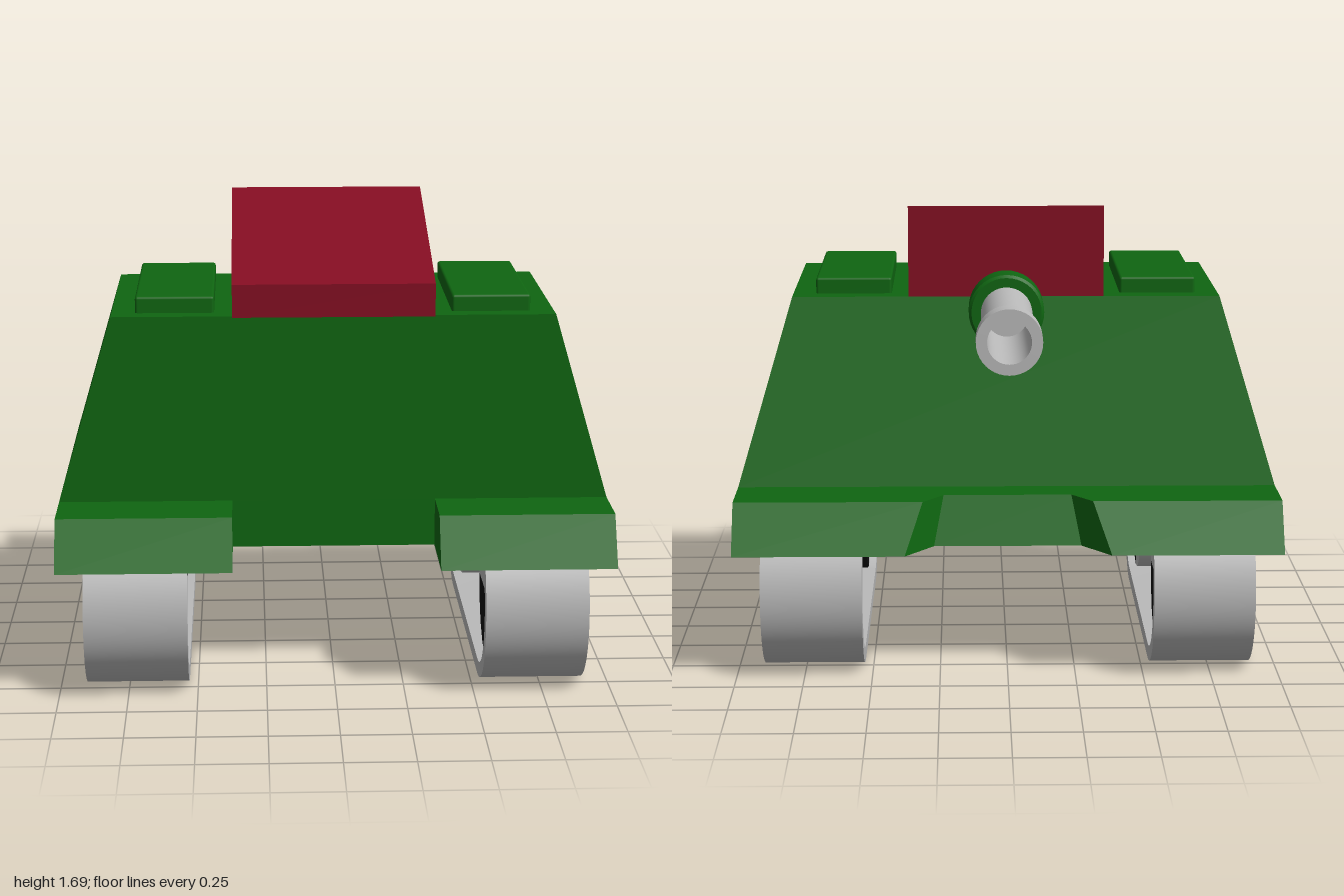
import * as THREE from 'three';
import { mergeGeometries, toCreasedNormals } from 'three/addons/utils/BufferGeometryUtils.js';
import { RoundedBoxGeometry } from 'three/addons/geometries/RoundedBoxGeometry.js';

const material = (name, color) => {
  const m = new THREE.MeshStandardMaterial({ color });
  m.name = name;
  return m;
};

// Solid between two matching outlines of [x, z], counter-clockwise from above
function loft(bottom, y0, top, y1) {
  const pos = [];
  const put = (p, y) => pos.push(p[0], y, p[1]);
  const n = bottom.length;
  for (let i = 0; i < n; i++) {
    const j = (i + 1) % n;
    put(bottom[i], y0); put(bottom[j], y0); put(top[j], y1);
    put(bottom[i], y0); put(top[j], y1); put(top[i], y1);
  }
  const cap = (outline) => THREE.ShapeUtils.triangulateShape(
    outline.map(([x, z]) => new THREE.Vector2(x, -z)), []);
  for (const [a, b, c] of cap(top)) { put(top[a], y1); put(top[b], y1); put(top[c], y1); }
  for (const [a, b, c] of cap(bottom)) { put(bottom[a], y0); put(bottom[c], y0); put(bottom[b], y0); }
  const g = new THREE.BufferGeometry();
  g.setAttribute('position', new THREE.Float32BufferAttribute(pos, 3));
  g.computeVertexNormals();
  return g;
}

// Right half outline (front centre to back centre) mirrored to a full loop
const mirrored = (half) => [...half, ...half.slice().reverse().map(([x, z]) => [-x, z])];

// Extrude a side profile drawn in (-z, y) across x, centred on x = 0
function extrudeAcross(shape, width, curveSegments = 32) {
  const g = new THREE.ExtrudeGeometry(shape, { depth: width, bevelEnabled: false, curveSegments });
  g.translate(0, 0, -width / 2);
  g.rotateY(Math.PI / 2);
  return g;
}

const FRONT_AXLE = 0.63, REAR_AXLE = -0.415, AXLE_Y = 0.305;

function stadium(PathType, r) {
  const p = new PathType();
  p.absarc(-REAR_AXLE, AXLE_Y, r, -Math.PI / 2, Math.PI / 2, false);
  p.absarc(-FRONT_AXLE, AXLE_Y, r, Math.PI / 2, Math.PI * 1.5, false);
  p.closePath();
  return p;
}

// Checkered wheel sectors of one colour: parity 0 is dark, 1 is light
function wheelSectors(parity) {
  const half = 0.157, parts = [];
  for (const side of [0, 1]) {
    for (let q = 0; q < 4; q++) {
      if ((q + side) % 2 !== parity) continue;
      const g = new THREE.CylinderGeometry(0.245, 0.245, half, 4, 1, false, q * Math.PI / 2, Math.PI / 2);
      g.translate(0, side ? -half / 2 : half / 2, 0);
      g.rotateZ(-Math.PI / 2);
      parts.push(g);
    }
  }
  return mergeGeometries(parts);
}

export function createModel() {
  const group = new THREE.Group();
  const green = material('armour green', 0x0f6611);
  const red = material('turret red', 0x850d22);
  const grey = material('metal grey', 0xbababa);
  const black = material('wheel black', 0x0f0f0f);
  const add = (name, geometry, mat, parent = group) => {
    const mesh = new THREE.Mesh(geometry, mat);
    mesh.name = name;
    parent.add(mesh);
    return mesh;
  };

  // Skirt plate with two front fenders and a notched rear fender
  const skirt = (front, rear, notchX, notchZ, cornerX) => mirrored([
    [0.37, 0.61], [0.37, front], [1, front], [1, rear], [cornerX, rear], [notchX, notchZ],
  ]);
  add('skirt', loft(skirt(0.93, -0.75, 0.27, -0.61, 0.375), 0.49,
    skirt(0.83, -0.64, 0.235, -0.54, 0.31), 0.665), green);

  // Hull tapering to the sides and back
  add('hull', loft(mirrored([[1, 0.61], [1, -0.41]]), 0.665,
    mirrored([[0.8, 0.61], [0.8, -0.22]]), 1.35), green);

  // Raised roof hatches
  for (const side of [1, -1]) {
    add(side > 0 ? 'leftHatch' : 'rightHatch', new RoundedBoxGeometry(0.285, 0.09, 0.685, 2, 0.01), green)
      .position.set(side * 0.572, 1.365, 0.2);
  }

  // Wedge turret
  const wedge = new THREE.Shape([[-0.612, 1.345], [0.217, 1.345], [0.217, 1.69], [-0.612, 1.465]]
    .map(([a, b]) => new THREE.Vector2(a, b)));
  add('turret', extrudeAcross(wedge, 0.73), red);

  // Gun: collar and hollow barrel, turned around the z axis
  const turned = (points) => {
    const g = new THREE.LatheGeometry(points.map(([r, d]) => new THREE.Vector2(r, d)), 40);
    g.rotateX(-Math.PI / 2);
    return toCreasedNormals(g, 0.6);
  };
  const gun = new THREE.Group();
  gun.name = 'gun';
  gun.position.y = 1.308;
  group.add(gun);
  add('gunCollar', turned([[0, 0.2], [0.14, 0.2], [0.14, 0.328], [0.13, 0.338], [0, 0.338]]), green, gun);
  add('barrel', turned([[0.095, 0.3], [0.095, 0.85], [0.117, 0.85], [0.117, 0.935],
    [0.078, 0.935], [0.078, 0.4], [0, 0.4]]), grey, gun);

  // Track belts and checkered wheels
  const belt = stadium(THREE.Shape, 0.305);
  belt.holes.push(stadium(THREE.Path, 0.25));
  const beltGeometry = toCreasedNormals(extrudeAcross(belt, 0.37), 0.6);
  const dark = wheelSectors(0), light = wheelSectors(1);
  for (const side of [1, -1]) {
    const track = new THREE.Group();
    track.name = side > 0 ? 'leftTrack' : 'rightTrack';
    track.position.x = side * 0.717;
    group.add(track);
    add('belt', beltGeometry, grey, track);
    for (const z of [FRONT_AXLE, REAR_AXLE]) {
      const wheel = new THREE.Group();
      wheel.name = z > 0 ? 'frontWheel' : 'rearWheel';
      wheel.position.set(0, AXLE_Y + 0.005, z);
      track.add(wheel);
      add('darkSectors', dark, black, wheel);
      add('lightSectors', light, grey, wheel);
    }
  }
  return group;
}
